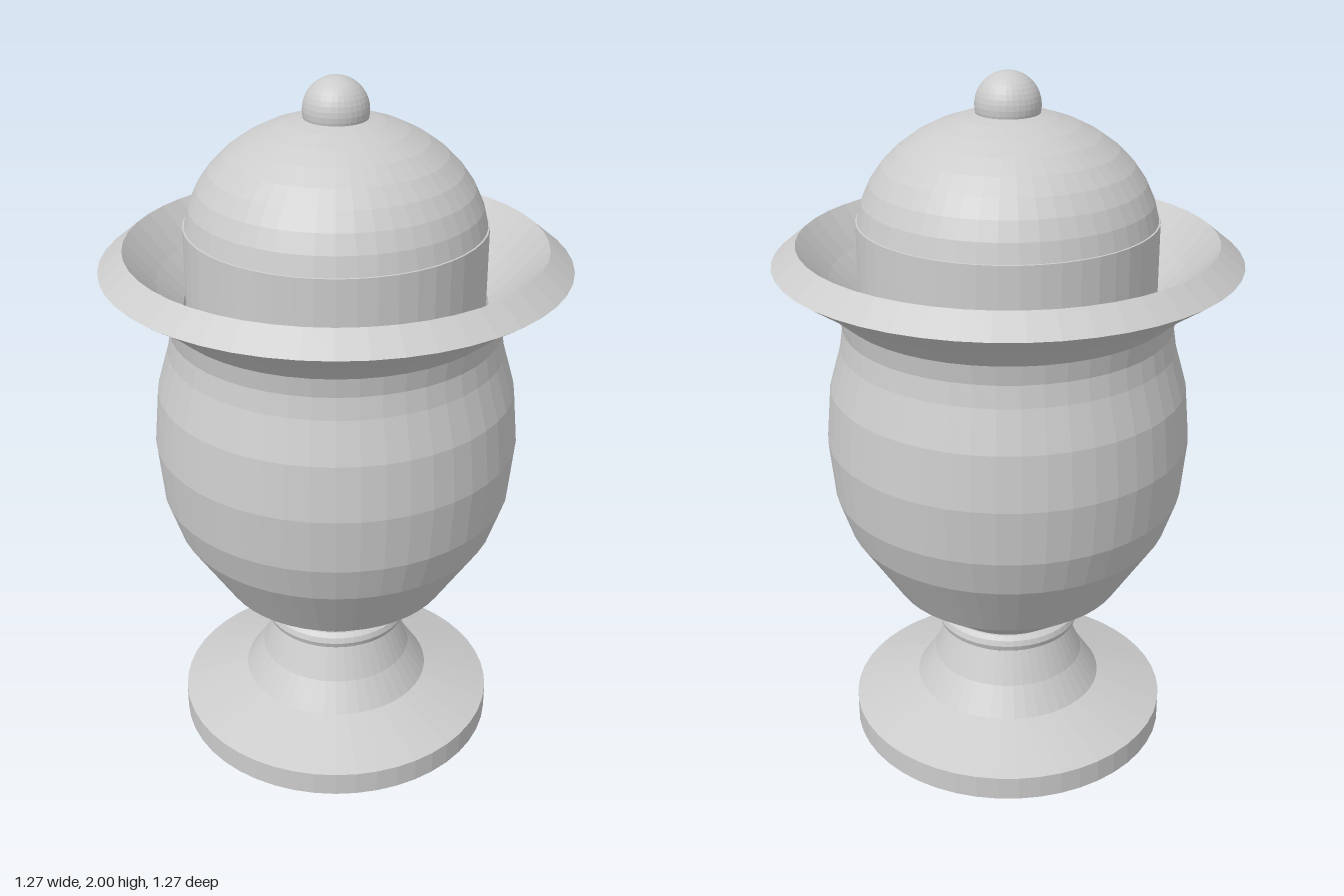
import * as THREE from 'three';

const SEGMENTS = 48;
const material = new THREE.MeshStandardMaterial({ color: 0xcccccc, flatShading: true, side: THREE.DoubleSide });

export function createModel() {
  const urn = new THREE.Group();
  urn.name = 'lidded urn';

  function add(name, geometry, y = 0) {
    const mesh = new THREE.Mesh(geometry, material);
    mesh.name = name;
    mesh.position.y = y;
    urn.add(mesh);
  }
  const turned = (profile) =>
    new THREE.LatheGeometry(profile.map(([r, y]) => new THREE.Vector2(r, y)), SEGMENTS);

  // Hollow foot: from the inner ceiling down and out, then up the outside
  add('foot', turned([
    [0, 0.32], [0.13, 0.32], [0.165, 0.23], [0.215, 0.14], [0.36, 0.09], [0.36, 0],
    [0.41, 0], [0.465, 0.04], [0.465, 0.11], [0.275, 0.175], [0.222, 0.255], [0.18, 0.355], [0.175, 0.41],
  ]));

  // Collar ring between foot and bowl
  const collar = new THREE.TorusGeometry(0.183, 0.027, 10, SEGMENTS);
  collar.rotateX(Math.PI / 2);
  add('collar', collar, 0.383);

  // Bowl with flared rim, then down its inner wall
  add('bowl', turned([
    [0, 0.4], [0.18, 0.405], [0.335, 0.52], [0.46, 0.715], [0.497, 0.825], [0.512, 0.985], [0.498, 1.14],
    [0.465, 1.255], [0.456, 1.315], [0.465, 1.37], [0.535, 1.43], [0.637, 1.5], [0.57, 1.555],
    [0.485, 1.46], [0.415, 1.39], [0.408, 1.315], [0.45, 1.13], [0.46, 0.985], [0.41, 0.72], [0.29, 0.56], [0, 0.46],
  ]));

  // Lid: straight skirt and a slightly inset dome
  const lid = [[0, 1.34], [0.408, 1.34], [0.408, 1.61]];
  const steps = 9, start = 0.11;
  for (let i = 0; i <= steps; i++) {
    const a = start + (Math.PI / 2 - start) * i / steps;
    lid.push([i === steps ? 0 : 0.406 * Math.cos(a), 1.575 + 0.325 * Math.sin(a)]);
  }
  add('lid', turned(lid));

  // Round knob
  add('knob', new THREE.SphereGeometry(0.088, 32, 20), 1.912);

  return urn;
}
